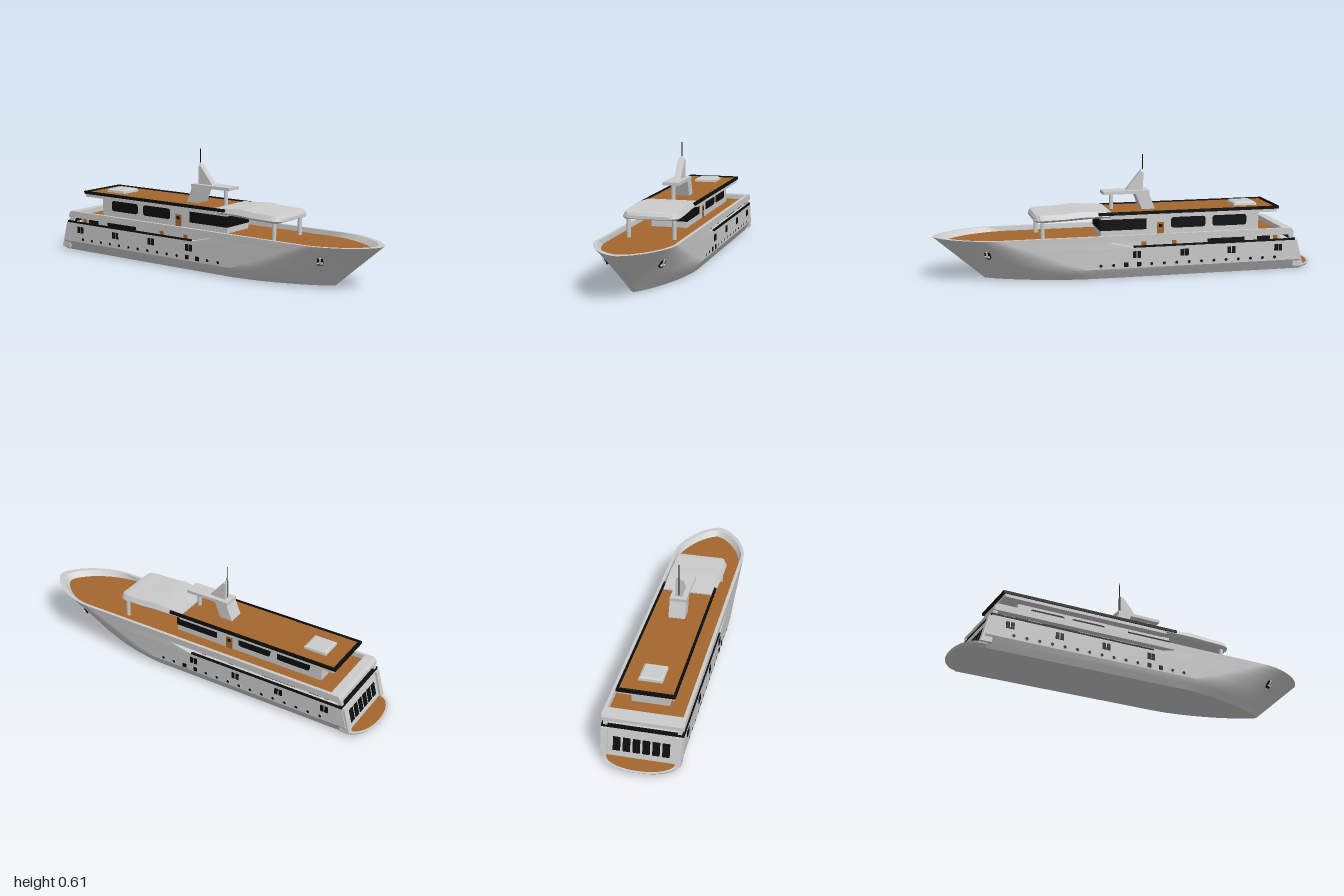
import * as THREE from 'three';
import { toCreasedNormals } from 'three/addons/utils/BufferGeometryUtils.js';

const grey = new THREE.MeshStandardMaterial({ color: 0xcccccc });
const teak = new THREE.MeshStandardMaterial({ color: 0xa5672e });
const black = new THREE.MeshStandardMaterial({ color: 0x0c0d0e });

// Skin closed rings of [x, y, z] points, with optional fan caps on the ends
function loft(rings, capStart = true, capEnd = true) {
  const n = rings[0].length, idx = [];
  for (let r = 0; r < rings.length - 1; r++) {
    for (let i = 0; i < n; i++) {
      const a = r * n + i, b = r * n + (i + 1) % n;
      idx.push(a, b, b + n, a, b + n, a + n);
    }
  }
  const last = (rings.length - 1) * n;
  for (let i = 1; i < n - 1; i++) {
    if (capStart) idx.push(0, i + 1, i);
    if (capEnd) idx.push(last, last + i, last + i + 1);
  }
  const g = new THREE.BufferGeometry();
  g.setAttribute('position', new THREE.Float32BufferAttribute(rings.flat(2), 3));
  g.setIndex(idx);
  return toCreasedNormals(g, 0.5);
}

const SHEER = 0.225, CHINE = 0.055;
const transomX = y => -0.91 + 0.26 * y;

// Plan outline of the hull at height y; inset shrinks it for the bulwark's inner face
function outline(y, stern, inset = 0) {
  const t = y / SHEER;
  const w = 0.165 + 0.035 * Math.min(1, y / CHINE) - inset;
  const start = y < CHINE ? 0.2 + 0.05 * y / CHINE : 0.25 + 0.43 * (y - CHINE) / (SHEER - CHINE);
  const nose = 0.74 + 0.26 * t - inset * 2;
  const q = 0.82 - 0.18 * t, n = 22, half = [[stern, w]];
  for (let i = 0; i <= n; i++) {
    const s = Math.sin(i / n * Math.PI / 2);
    half.push([start + (nose - start) * s, w * Math.pow(Math.max(0, 1 - Math.pow(s, 1.7)), q)]);
  }
  const port = half.slice(0, -1).reverse().map(([x, z]) => [x, y, -z]);
  return [...half.map(([x, z]) => [x, y, z]), ...port];
}

// Half-oval outline of the bathing platform
function platformRing(y, length, w) {
  const ring = [];
  for (let i = 0; i <= 24; i++) {
    const a = -Math.PI / 2 + Math.PI * i / 24;
    ring.push([-0.88 - length * Math.pow(Math.cos(a), 0.75), y, w * Math.sin(a)]);
  }
  return ring;
}

// Rounded rectangle panel facing +z
function panel(w, h, r, depth) {
  const s = new THREE.Shape(), x = w / 2, y = h / 2;
  s.moveTo(-x + r, -y).lineTo(x - r, -y).quadraticCurveTo(x, -y, x, -y + r);
  s.lineTo(x, y - r).quadraticCurveTo(x, y, x - r, y).lineTo(-x + r, y);
  s.quadraticCurveTo(-x, y, -x, y - r).lineTo(-x, -y + r).quadraticCurveTo(-x, -y, -x + r, -y);
  return new THREE.ExtrudeGeometry(s, { depth, bevelEnabled: false, curveSegments: 6 }).translate(0, 0, -depth / 2);
}

// Side profile extruded across the beam
function profile(points, width) {
  const s = new THREE.Shape(points.map(p => new THREE.Vector2(...p)));
  return new THREE.ExtrudeGeometry(s, { depth: width, bevelEnabled: false }).translate(0, 0, -width / 2);
}

export function createModel() {
  const model = new THREE.Group();
  const add = (name, geo, mat = grey, x = 0, y = 0, z = 0) => {
    const m = new THREE.Mesh(geo, mat);
    m.name = name;
    m.position.set(x, y, z);
    model.add(m);
    return m;
  };
  const box = (name, x0, x1, y0, y1, z0, z1, mat) => add(name,
    new THREE.BoxGeometry(x1 - x0, y1 - y0, z1 - z0), mat, (x0 + x1) / 2, (y0 + y1) / 2, (z0 + z1) / 2);

  // Hull: lower body, solid forward band, and upper band with a bulwark
  add('lowerHull', loft([0, 0.028, CHINE, 0.09, 0.125, 0.16].map(y => outline(y, transomX(y)))));
  add('forwardHull', loft([outline(0.16, 0), outline(0.175, 0.065), outline(0.19, 0.13)], false, false));
  add('upperHull', loft([outline(0.19, -0.86), outline(0.207, -0.858), outline(SHEER, -0.845),
    outline(SHEER, -0.8, 0.017), outline(0.2, -0.8, 0.018)], true, false));
  add('upperDeck', loft([outline(0.2, -0.8, 0.0175)], false, true), teak);

  // Recessed main deck house and its rail
  box('mainHouse', -0.8, 0.12, 0.155, 0.195, -0.165, 0.165);
  box('sternRail', -0.868, -0.85, 0.16, 0.171, -0.2, 0.2, black);
  for (const s of [-1, 1]) {
    box('sideRail', -0.865, 0.0, 0.16, 0.169, s * 0.196 - 0.005, s * 0.196 + 0.005, black);
    add('sternPillar', profile([[-0.868, 0.16], [-0.845, 0.16], [-0.835, 0.195], [-0.858, 0.195]], 0.02), grey, 0, 0, s * 0.18);
    for (const [x, w] of [[-0.705, 0.07], [-0.5, 0.2]])
      add('mainHouseWindow', panel(w, 0.026, 0.008, 0.006), black, x, 0.175, s * 0.166);
    for (const x of [-0.77, -0.22, -0.06])
      box('mainHouseDoor', x - 0.012, x + 0.012, 0.156, 0.189, s * 0.166 - 0.003, s * 0.166 + 0.003, teak);
  }

  // Hull side openings
  for (const s of [-1, 1]) {
    for (let i = 0; i < 15; i++) {
      const x = -0.755 + i * 0.0663;
      if (i === 11 || i === 12) {
        box('squarePort', x - 0.011, x + 0.011, 0.063, 0.085, s * 0.2 - 0.003, s * 0.2 + 0.003, black);
        continue;
      }
      if (x > 0.2) continue;
      const rim = add('portholeRim', new THREE.TorusGeometry(0.009, 0.0022, 6, 16), grey, x, 0.074, s * 0.2005);
      rim.scale.z = 0.8;
      add('porthole', new THREE.CylinderGeometry(0.009, 0.009, 0.004, 16).rotateX(Math.PI / 2), black, x, 0.074, s * 0.2);
    }
    for (const x of [-0.775, -0.518, -0.267, -0.015])
      for (const d of [-0.012, 0.012])
        box('hullWindow', x + d - 0.0095, x + d + 0.0095, 0.107, 0.142, s * 0.2 - 0.002, s * 0.2 + 0.002, black);

    // Anchor in its pocket on the bow flare
    const anchor = new THREE.Group();
    anchor.name = 'anchor';
    const pocket = new THREE.Mesh(panel(0.03, 0.042, 0.009, 0.012), black);
    const shank = new THREE.Mesh(new THREE.BoxGeometry(0.008, 0.034, 0.012), grey);
    shank.position.set(0, 0.008, 0.006);
    const fluke = new THREE.Mesh(new THREE.BoxGeometry(0.026, 0.008, 0.014), grey);
    fluke.position.set(0, -0.006, 0.006);
    anchor.add(pocket, shank, fluke);
    const ring = outline(0.145, 0).filter(p => p[2] > 0);
    const k = ring.findIndex(p => p[0] > 0.735), [a, b] = [ring[k - 1], ring[k]];
    const z = a[2] + (b[2] - a[2]) * (0.735 - a[0]) / (b[0] - a[0]);
    anchor.position.set(0.735, 0.145, s * z);
    anchor.rotation.set(s * 0.45, s > 0 ? 0.5 : Math.PI - 0.5, 0, 'YXZ');
    anchor.rotation.x = 0.45;
    model.add(anchor);
  }

  // Stern: bathing platform, transom windows and side wings
  add('bathingPlatform', loft([platformRing(0, 0.06, 0.165), platformRing(0.012, 0.11, 0.182), platformRing(0.022, 0.12, 0.185)]));
  add('platformDeck', loft([platformRing(0.0235, 0.108, 0.172)], false, true), teak);
  for (let i = 0; i < 6; i++) {
    const w = add('transomWindow', new THREE.BoxGeometry(0.006, 0.07, 0.036), black, transomX(0.085), 0.085, (i - 2.5) * 0.048);
    w.rotation.z = -0.254;
  }
  for (const s of [-1, 1])
    add('transomWing', profile([[-0.917, 0.02], [-0.86, 0.02], [-0.85, 0.16], [-0.88, 0.16]], 0.03), grey, 0, 0, s * 0.18);

  // Upper cabin
  box('cabin', -0.7, 0.15, 0.2, 0.31, -0.094, 0.094);
  box('bridgeWindow', -0.09, 0.154, 0.232, 0.289, -0.096, 0.096, black);
  for (const s of [-1, 1]) {
    for (const x of [-0.54, -0.315])
      add('cabinWindow', panel(0.185, 0.056, 0.016, 0.006), black, x, 0.261, s * 0.094);
    box('cabinDoor', -0.185, -0.147, 0.2, 0.265, s * 0.094 - 0.003, s * 0.094 + 0.003, teak);
    box('doorPane', -0.174, -0.158, 0.24, 0.256, s * 0.097 - 0.002, s * 0.097 + 0.002, black);
    add('roofPillar', new THREE.CylinderGeometry(0.011, 0.011, 0.1, 16), grey, 0.455, 0.25, s * 0.116);
  }

  // Sun deck with dark edging
  box('sunDeckSlab', -0.785, 0.11, 0.303, 0.32, -0.139, 0.139);
  box('sunDeckFloor', -0.78, 0.11, 0.32, 0.328, -0.132, 0.132, teak);
  box('sunDeckAftEdge', -0.795, -0.78, 0.319, 0.334, -0.143, 0.143, black);
  for (const s of [-1, 1])
    box('sunDeckSideEdge', -0.79, 0.17, 0.319, 0.334, s * 0.1375 - 0.0055, s * 0.1375 + 0.0055, black);
  add('deckLocker', loft([[0.328, 0], [0.34, 0.002], [0.347, 0.012]].map(([y, d]) =>
    [[-0.7 + d, y, 0.06 - d], [-0.575 - d, y, 0.06 - d], [-0.575 - d, y, -0.06 + d], [-0.7 + d, y, -0.06 + d]])));

  // Bridge roof from cross-sections: x, top, bottom, half width
  const stations = [[0.1, 0.334, 0.306, 0.141], [0.18, 0.338, 0.306, 0.143], [0.26, 0.344, 0.303, 0.145],
    [0.34, 0.336, 0.299, 0.147], [0.44, 0.333, 0.296, 0.147], [0.47, 0.332, 0.295, 0.141],
    [0.486, 0.328, 0.296, 0.128], [0.495, 0.315, 0.3, 0.113]];
  add('bridgeRoof', loft(stations.map(([x, t, b, w]) => {
    const m = b + (t - b) * 0.3;
    return [[x, t, -w + 0.014], [x, t, w - 0.014], [x, m, w], [x, b, w - 0.012],
      [x, b, -w + 0.012], [x, m, -w]];
  })));

  // Mast
  add('mastLeg', profile([[-0.15, 0.325], [-0.08, 0.325], [-0.045, 0.412], [-0.115, 0.412]], 0.086));
  box('mastPlatform', -0.12, 0.125, 0.41, 0.426, -0.043, 0.043);
  add('mastPole', new THREE.CylinderGeometry(0.011, 0.011, 0.09, 16), grey, 0.075, 0.37, 0);
  const fin = (x, y, w) => [x, y, w];
  add('mastFin', loft([[0.425, 0.0, 0.018], [0.518, -0.075, 0.018], [0.535, -0.088, 0.004]].map(([y, x, w]) =>
    [fin(-0.092, y, w), fin(x, y, w), fin(x, y, -w), fin(-0.092, y, -w)])));
  add('antenna', new THREE.CylinderGeometry(0.002, 0.002, 0.18, 8), black, -0.092, 0.52, 0);
  return model;
}
